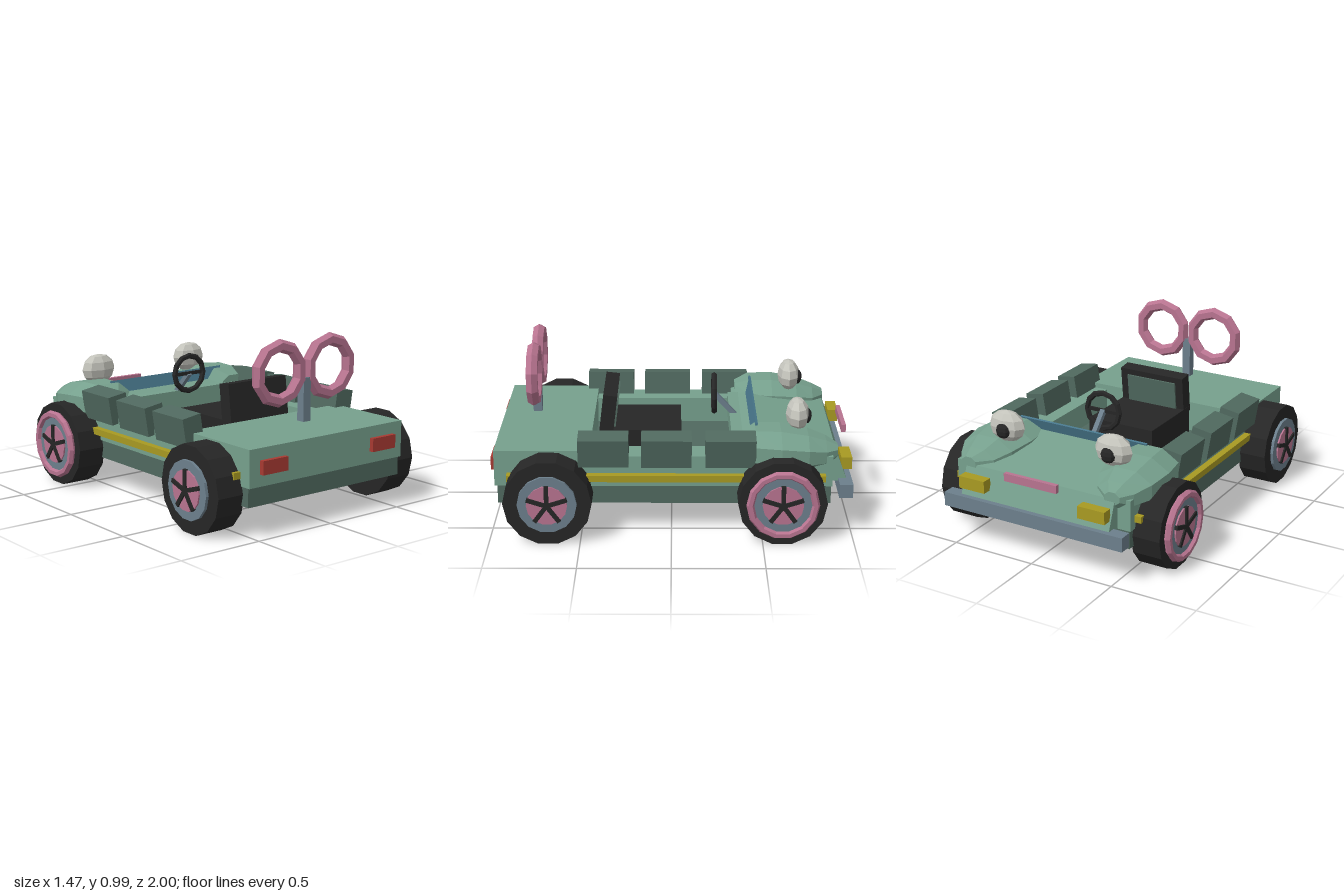
import * as THREE from 'three';

const mat = (name, color, side = THREE.FrontSide) => {
  const m = new THREE.MeshStandardMaterial({ color, flatShading: true, side });
  m.name = name;
  return m;
};

export function createModel() {
  const car = new THREE.Group();
  car.name = 'toyCar';
  const green = mat('bodyGreen', 0x76a08d);
  const darkGreen = mat('darkGreen', 0x50695f);
  const black = mat('black', 0x262626);
  const grey = mat('blueGrey', 0x6c7f8c);
  const pink = mat('pink', 0xb87490);
  const yellow = mat('yellow', 0xa89a22);
  const red = mat('red', 0xa83a32);
  const blue = mat('windshieldBlue', 0x48778c);
  const white = mat('eyeWhite', 0xc4c4bc);

  const add = (name, geo, m, x = 0, y = 0, z = 0, parent = car) => {
    const mesh = new THREE.Mesh(geo, m);
    mesh.name = name;
    mesh.position.set(x, y, z);
    parent.add(mesh);
    return mesh;
  };
  // Box given by its extents
  const box = (name, m, x0, x1, y0, y1, z0, z1, parent = car) =>
    add(name, new THREE.BoxGeometry(x1 - x0, y1 - y0, z1 - z0), m,
      (x0 + x1) / 2, (y0 + y1) / 2, (z0 + z1) / 2, parent);
  // Side profile of [z, y] points, extruded across x
  const profile = (points, width) => {
    const shape = new THREE.Shape(points.map(p => new THREE.Vector2(...p)));
    return new THREE.ExtrudeGeometry(shape, { depth: width, bevelEnabled: false })
      .translate(0, 0, -width / 2).rotateY(-Math.PI / 2);
  };
  // Loft of octagonal sections [z, inner x, outer x, bottom, top]
  const loft = (sections, side) => {
    const n = 8, pos = [], idx = [], k = 1 / Math.cos(Math.PI / n);
    sections.forEach(([z, xi, xo, yb, yt]) => {
      for (let j = 0; j < n; j++) {
        const a = (j + 0.5) / n * Math.PI * 2;
        pos.push(side * (xi + xo) / 2 + (xo - xi) / 2 * k * Math.cos(a),
          (yb + yt) / 2 + (yt - yb) / 2 * k * Math.sin(a), z);
      }
    });
    const last = (sections.length - 1) * n;
    for (let j = 0; j < n; j++) {
      const j1 = (j + 1) % n;
      for (let r = 0; r < last; r += n)
        idx.push(r + j, r + n + j, r + j1, r + j1, r + n + j, r + n + j1);
      if (j > 0 && j < n - 1) idx.push(0, j, j + 1, last, last + j + 1, last + j);
    }
    const g = new THREE.BufferGeometry();
    g.setAttribute('position', new THREE.Float32BufferAttribute(pos, 3));
    g.setIndex(idx);
    const flat = g.toNonIndexed();
    flat.computeVertexNormals();
    return flat;
  };

  // Chassis, cockpit and decks
  box('chassis', darkGreen, -0.54, 0.54, 0.18, 0.29, -0.88, 0.96);
  box('cockpitFloor', darkGreen, -0.4, 0.4, 0.285, 0.31, -0.45, 0.46);
  box('rearDeck', green, -0.545, 0.545, 0.285, 0.49, 0.45, 0.975);
  add('hood', profile([[-0.36, 0.29], [-0.36, 0.5], [-0.46, 0.54],
    [-0.91, 0.46], [-0.97, 0.3], [-0.95, 0.285]], 0.94), green);
  box('dashboard', green, -0.35, 0.35, 0.4, 0.515, -0.44, -0.335);
  const windshield = add('windshield', new THREE.BoxGeometry(0.82, 0.1, 0.012), blue, 0, 0.553, -0.455);
  windshield.rotation.x = -0.33;

  // Front bumper, nose badge plate
  box('bumper', grey, -0.565, 0.565, 0.22, 0.3, -1, -0.925);
  box('nosePlate', pink, -0.165, 0.165, 0.455, 0.5, -0.995, -0.97);

  const fenderSections = [
    [-0.38, 0.36, 0.54, 0.42, 0.55],
    [-0.46, 0.26, 0.6, 0.38, 0.59],
    [-0.6, 0.25, 0.62, 0.37, 0.59],
    [-0.75, 0.28, 0.6, 0.37, 0.565],
    [-0.85, 0.33, 0.55, 0.375, 0.53],
    [-0.915, 0.41, 0.5, 0.43, 0.5],
  ];
  for (const s of [-1, 1]) {
    // Side wall, trim stripe, fender
    add('sideWall', new THREE.BoxGeometry(0.155, 0.175, 1.35), green, s * 0.4725, 0.3725, -0.21);
    add('sideStripe', new THREE.BoxGeometry(0.05, 0.037, 1.75), yellow, s * 0.565, 0.343, 0.03);
    add('frontFender', loft(fenderSections, s), green);

    // Leaning pads along the cockpit edge
    for (const z of [0.3725, 0.0275, -0.3225]) {
      const pad = add('sidePad', new THREE.BoxGeometry(0.12, 0.165, 0.275), darkGreen, s * 0.545, 0.502, z);
      pad.rotation.z = -s * 0.16;
    }

    // Lamps
    add('headlight', new THREE.BoxGeometry(0.165, 0.07, 0.06), yellow, s * 0.378, 0.385, -0.97);
    add('tailLight', new THREE.BoxGeometry(0.17, 0.075, 0.035), red, s * 0.39, 0.388, 0.983);

    // Eyes on the fenders
    const eye = add('eye', new THREE.SphereGeometry(1, 8, 6), white, s * 0.34, 0.635, -0.7);
    eye.scale.set(0.115, 0.09, 0.066);
    const pupil = add('pupil', new THREE.SphereGeometry(1, 8, 6), black, s * 0.335, 0.622, -0.752);
    pupil.scale.set(0.045, 0.045, 0.028);

    // Wheels
    for (const [name, z] of [['frontWheel', -0.605], ['rearWheel', 0.675]]) {
      const wheel = new THREE.Group();
      wheel.name = name;
      wheel.position.set(0, 0.243, z);
      car.add(wheel);
      const disc = (part, r, x0, x1, m, sides) =>
        add(part, new THREE.CylinderGeometry(r, r, x1 - x0, sides).rotateZ(Math.PI / 2), m,
          s * (x0 + x1) / 2, 0, 0, wheel);
      disc('tire', 0.243, 0.53, 0.7, black, 14);
      disc('rim', 0.163, 0.69, 0.717, grey, 14);
      disc('hubcap', 0.112, 0.7, 0.726, pink, 14);
      for (let i = 0; i < 5; i++) {
        const spoke = add('spoke', new THREE.BoxGeometry(0.02, 0.115, 0.024).translate(0, 0.0575, 0),
          black, s * 0.725, 0, 0, wheel);
        spoke.rotation.x = i * Math.PI * 2 / 5;
      }
      if (name === 'frontWheel')
        add('wheelRing', new THREE.TorusGeometry(0.178, 0.022, 6, 14).rotateY(Math.PI / 2), pink,
          s * 0.715, 0, 0, wheel);
    }

    // Wind-up key loop
    add('keyRing', new THREE.TorusGeometry(0.149, 0.036, 6, 10).rotateZ(Math.PI / 10), pink, s * 0.178, 0.81, 0.773);
  }
  box('keyStem', grey, -0.025, 0.025, 0.53, 0.77, 0.75, 0.8);

  // Seat
  box('seatBase', black, -0.21, 0.21, 0.3, 0.485, -0.055, 0.4);
  const back = new THREE.Group();
  back.name = 'seatBack';
  back.position.set(0, 0.45, 0.37);
  back.rotation.x = -0.12;
  car.add(back);
  box('backrest', black, -0.208, 0.208, 0, 0.24, -0.035, 0.045, back);
  box('backCushion', darkGreen, -0.16, 0.16, 0.04, 0.205, -0.045, -0.03, back);

  // Steering wheel with spokes and column
  const steering = new THREE.Group();
  steering.name = 'steeringWheel';
  steering.position.set(0, 0.635, -0.245);
  car.add(steering);
  add('steeringRim', new THREE.TorusGeometry(0.105, 0.017, 6, 12), black, 0, 0, 0, steering);
  add('steeringSpoke', new THREE.BoxGeometry(0.2, 0.02, 0.012), black, 0, 0, 0, steering);
  const column = add('steeringColumn', new THREE.BoxGeometry(0.028, 0.028, 0.18), grey, 0, 0.57, -0.305);
  column.rotation.x = -0.82;

  return car;
}
